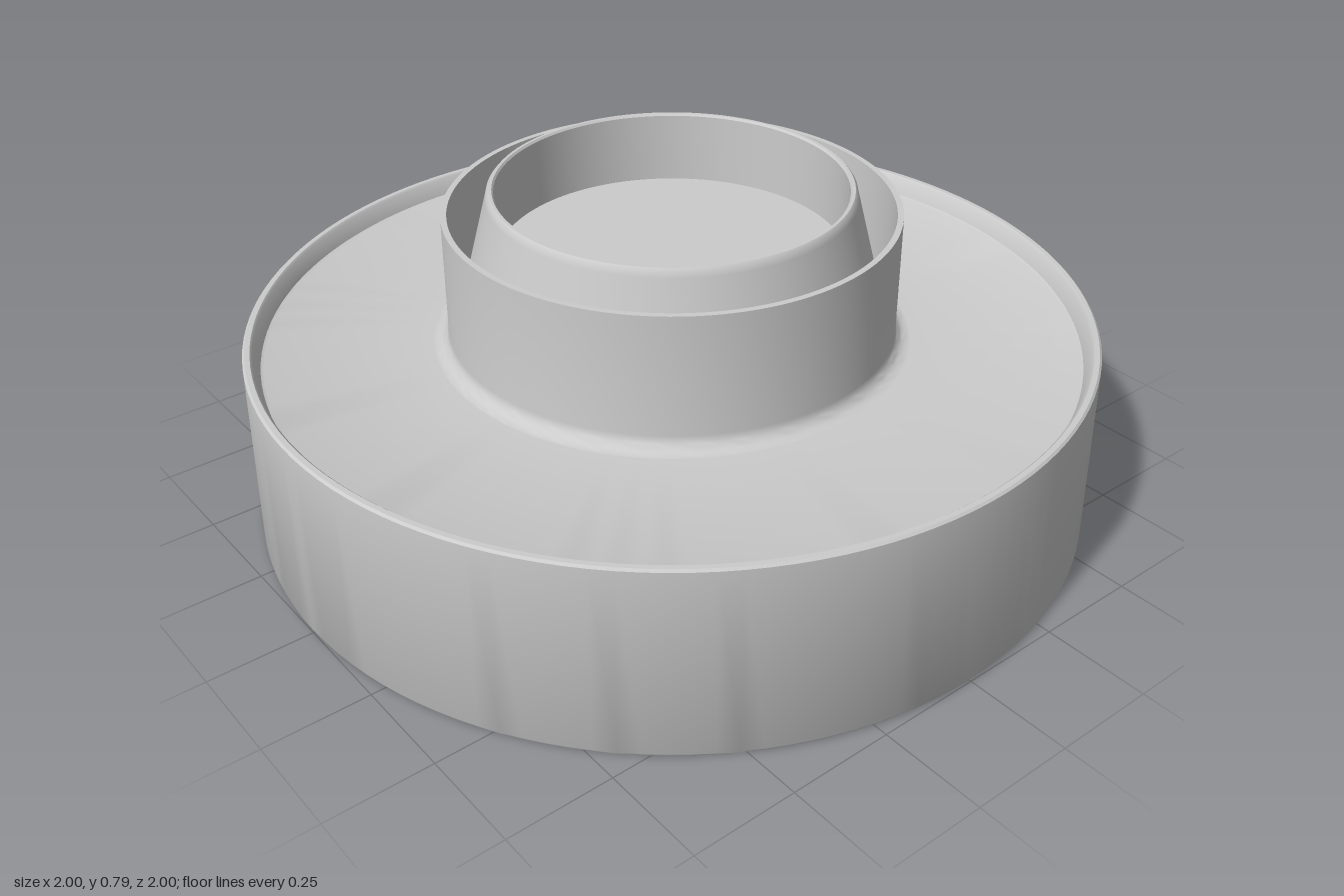
import * as THREE from 'three';
import { toCreasedNormals } from 'three/addons/utils/BufferGeometryUtils.js';

const material = new THREE.MeshStandardMaterial({ color: 0xcccccc, side: THREE.DoubleSide });

// Turned part from [radius, height] pairs, running outward and up the outside
function turned(name, profile) {
  const points = profile.map(([r, y]) => new THREE.Vector2(r, y));
  const geometry = toCreasedNormals(new THREE.LatheGeometry(points, 128), 0.6);
  const mesh = new THREE.Mesh(geometry, material);
  mesh.name = name;
  return mesh;
}

export function createModel() {
  const group = new THREE.Group();
  group.name = 'steppedRoundBase';

  // Wide drum with a thin raised rim around a recessed deck
  group.add(turned('base', [
    [0, 0], [0.995, 0], [1, 0.008], [0.993, 0.455], [0.988, 0.46],
    [0.976, 0.46], [0.971, 0.455], [0.957, 0.415], [0.95, 0.412], [0.56, 0.412],
  ]));

  // Neck with a small fillet at its foot and a groove inside its lip
  const fillet = [];
  for (let i = 0; i <= 6; i++) {
    const a = (i / 6) * Math.PI / 2;
    fillet.push([0.56 - 0.034 * Math.sin(a), 0.446 - 0.034 * Math.cos(a)]);
  }
  group.add(turned('neck', [
    ...fillet, [0.526, 0.733], [0.512, 0.733], [0.505, 0.5], [0.492, 0.5],
  ]));

  // Tapered inner collar, hollow down to a flat floor
  group.add(turned('collar', [
    [0.492, 0.5], [0.424, 0.765], [0.421, 0.778], [0.415, 0.785], [0.408, 0.785],
    [0.404, 0.78], [0.404, 0.61], [0, 0.61],
  ]));

  return group;
}
